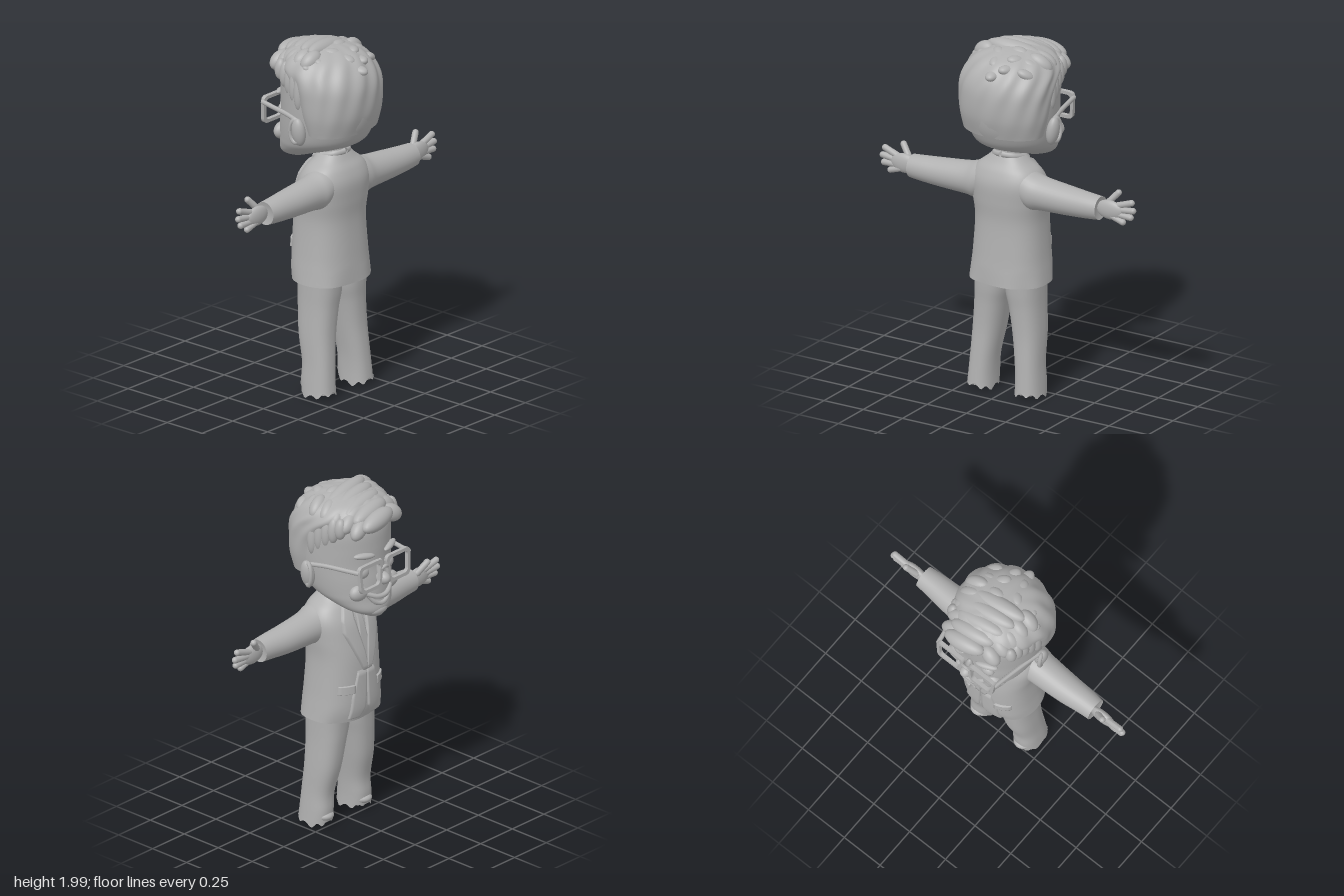
import * as THREE from 'three';

const grey = new THREE.MeshStandardMaterial({ color: 0xb0b0b0, side: THREE.DoubleSide });
grey.name = 'clay grey';

// Cross-section tables: [y, xMin, xMax, zMin, zMax]; the figure faces -z
const TORSO = [
  [0.65, -0.228, 0.228, -0.125, 0.23], [0.72, -0.22, 0.22, -0.14, 0.226], [0.82, -0.21, 0.21, -0.142, 0.218],
  [1.0, -0.2, 0.2, -0.135, 0.208], [1.12, -0.21, 0.21, -0.115, 0.217], [1.22, -0.215, 0.215, -0.09, 0.22],
  [1.29, -0.185, 0.185, -0.055, 0.198], [1.34, -0.125, 0.125, -0.02, 0.165], [1.385, -0.078, 0.078, -0.005, 0.14]];
const HEAD = [
  [1.295, -0.05, 0.05, -0.245, -0.14], [1.34, -0.14, 0.14, -0.26, -0.03], [1.4, -0.2, 0.2, -0.252, 0.13],
  [1.45, -0.225, 0.225, -0.25, 0.23], [1.52, -0.24, 0.24, -0.245, 0.275], [1.6, -0.25, 0.25, -0.235, 0.3],
  [1.7, -0.255, 0.255, -0.235, 0.308], [1.8, -0.255, 0.255, -0.23, 0.295], [1.88, -0.23, 0.23, -0.2, 0.25],
  [1.94, -0.16, 0.16, -0.13, 0.17], [1.965, -0.03, 0.03, -0.04, 0.03]];
const HAIR = [
  [1.52, -0.238, 0.238, -0.02, 0.274], [1.62, -0.26, 0.26, -0.06, 0.304], [1.72, -0.268, 0.268, -0.1, 0.311],
  [1.8, -0.27, 0.27, -0.15, 0.301], [1.87, -0.255, 0.255, -0.22, 0.268], [1.93, -0.205, 0.205, -0.2, 0.21],
  [1.965, -0.12, 0.12, -0.13, 0.12], [1.98, -0.02, 0.02, -0.03, 0.02]];
const LEG = [
  [0.015, 0.075, 0.228, -0.005, 0.19], [0.1, 0.075, 0.222, -0.012, 0.183], [0.2, 0.068, 0.215, -0.012, 0.175],
  [0.35, 0.045, 0.21, -0.045, 0.165], [0.5, 0.02, 0.202, -0.062, 0.167], [0.6, -0.002, 0.2, -0.07, 0.175],
  [0.72, -0.01, 0.2, -0.08, 0.18]];
// Along the arm, x holds minus the height
const ARM = [
  [0.1, -1.32, -1.13, 0.0, 0.19], [0.17, -1.302, -1.09, -0.005, 0.195], [0.24, -1.28, -1.095, 0.0, 0.185],
  [0.4, -1.262, -1.1, 0.01, 0.175], [0.52, -1.252, -1.108, 0.025, 0.168], [0.6, -1.245, -1.115, 0.032, 0.16]];

// Catmull-Rom refinement of a section table
function dense(rows, k = 6) {
  const out = [], at = i => rows[Math.min(rows.length - 1, Math.max(0, i))];
  for (let i = 0; i < rows.length - 1; i++) for (let s = 0; s < k; s++) {
    const t = s / k, [a, b, c, d] = [at(i - 1), at(i), at(i + 1), at(i + 2)];
    out.push(b.map((v, j) => 0.5 * (2 * v + (c[j] - a[j]) * t + (2 * a[j] - 5 * v + 4 * c[j] - d[j]) * t * t
      + (3 * v - a[j] - 3 * c[j] + d[j]) * t ** 3)));
  }
  return [...out, rows[rows.length - 1]];
}

// Skin superellipse rings; warp(point, angle, ring) may move each vertex
function loft(table, { n = 2, seg = 48, warp, bottom = true, top = true, dip = 0 } = {}) {
  const rows = dense(table), pos = [], idx = [], p = new THREE.Vector3();
  const pw = v => Math.sign(v) * Math.abs(v) ** (2 / n);
  rows.forEach(([y, x0, x1, z0, z1], i) => {
    for (let j = 0; j < seg; j++) {
      const a = j / seg * Math.PI * 2;
      p.set((x0 + x1) / 2 + pw(Math.cos(a)) * (x1 - x0) / 2, y, (z0 + z1) / 2 + pw(Math.sin(a)) * (z1 - z0) / 2);
      if (warp) warp(p, a, i);
      pos.push(p.x, p.y, p.z);
      const A = i * seg + j, B = i * seg + (j + 1) % seg;
      if (i < rows.length - 1) idx.push(A, A + seg, B, B, A + seg, B + seg);
    }
  });
  const cap = (i, up) => {
    const [y, x0, x1, z0, z1] = rows[i], s = pos.length / 3;
    pos.push(...pos.slice(i * seg * 3, (i + 1) * seg * 3), (x0 + x1) / 2, y + (up ? -dip : dip), (z0 + z1) / 2);
    for (let j = 0; j < seg; j++) {
      const a = s + j, b = s + (j + 1) % seg;
      idx.push(s + seg, up ? b : a, up ? a : b);
    }
  };
  if (bottom) cap(0, false);
  if (top) cap(rows.length - 1, true);
  return build(pos, idx);
}

function build(pos, idx) {
  const g = new THREE.BufferGeometry();
  g.setAttribute('position', new THREE.Float32BufferAttribute(pos, 3));
  g.setIndex(idx);
  g.computeVertexNormals();
  return g;
}

// Front surface depth of a lofted body at (x, y)
function frontZ(table, x, y, n) {
  const i = Math.max(1, table.findIndex(r => r[0] >= y)), a = table[i - 1], b = table[i];
  const t = (y - a[0]) / (b[0] - a[0]), [, x0, x1, z0, z1] = a.map((v, j) => v + (b[j] - v) * t);
  const d = Math.min(1, Math.abs((x - (x0 + x1) / 2) / ((x1 - x0) / 2)));
  return (z0 + z1) / 2 - (z1 - z0) / 2 * (1 - d ** n) ** (1 / n);
}

// Raised pad hugging the jacket front; outline rows are [y, xLeft, xRight] from top down
function pad(rows, lift) {
  const body = dense(TORSO), pos = [], idx = [], W = 10, H = 24;
  for (let i = 0; i <= H; i++) {
    const f = i / H * (rows.length - 1), k = Math.min(rows.length - 2, Math.floor(f));
    const [y, l, r] = rows[k].map((v, j) => v + (rows[k + 1][j] - v) * (f - k));
    for (let j = 0; j <= W; j++) {
      const x = l + (r - l) * Math.min(1, Math.max(0, (j - 0.9) / (W - 1.8)));
      const edge = i === 0 || i === H || j === 0 || j === W;
      pos.push(x, y, frontZ(body, x, y, 2.4) - (edge ? -0.005 : lift));
      const a = i * (W + 1) + j;
      if (i < H && j < W) idx.push(a, a + 1, a + W + 1, a + 1, a + W + 2, a + W + 1);
    }
  }
  return build(pos, idx);
}

const blob = (x, y, z, rx, ry, rz, tilt = 0, turn = 0) =>
  new THREE.SphereGeometry(1, 24, 16).scale(rx, ry, rz).rotateZ(tilt).rotateY(turn).translate(x, y, z);
const tube = (pts, r) =>
  new THREE.TubeGeometry(new THREE.CatmullRomCurve3(pts.map(p => new THREE.Vector3(...p))), 20, r, 8);

function finger(from, to, r) {
  const a = new THREE.Vector3(...from), b = new THREE.Vector3(...to), d = b.clone().sub(a), len = d.length();
  const q = new THREE.Quaternion().setFromUnitVectors(new THREE.Vector3(0, 1, 0), d.normalize());
  return new THREE.CapsuleGeometry(r, len, 6, 12).applyQuaternion(q).translate(...a.add(b).multiplyScalar(0.5).toArray());
}

function mirrored(geo) {
  const g = geo.clone().scale(-1, 1, 1);
  const ix = g.index ? Array.from(g.index.array) : Array.from({ length: g.attributes.position.count }, (_, i) => i);
  for (let i = 0; i < ix.length; i += 3) [ix[i], ix[i + 1]] = [ix[i + 1], ix[i]];
  g.setIndex(ix);
  g.computeVertexNormals();
  return g;
}

export function createModel() {
  const model = new THREE.Group();
  model.name = 'figure';
  const add = (name, geo) => {
    const m = new THREE.Mesh(geo, grey);
    m.name = name;
    model.add(m);
  };
  const pair = (name, geo) => { add(name + 'Left', geo); add(name + 'Right', mirrored(geo)); };

  // Trousers with ragged open hems, and the feet remnants inside
  pair('trouserLeg', loft(LEG, {
    n: 2.4, bottom: false,
    warp: (p, a, i) => { if (i < 2) p.y += (2 - i) * (0.006 + 0.012 * Math.sin(a * 5) * Math.cos(a * 3 + 1)); } }));
  pair('shoe', blob(0.15, 0.065, 0.05, 0.06, 0.035, 0.075));

  // Jacket with a soft hem
  add('jacket', loft(TORSO, {
    n: 2.4, dip: 0.04,
    warp: (p, a, i) => { if (i < 8) p.z += 0.004 * Math.sin(a * 6) * (1 - i / 8); } }));
  pair('lapel', pad([[1.33, 0.03, 0.075], [1.24, 0.045, 0.12], [1.17, 0.035, 0.125], [1.05, 0.01, 0.075], [0.93, -0.005, 0.02]], 0.018));
  add('tie', pad([[1.33, -0.024, 0.024], [1.28, -0.014, 0.014], [1.1, -0.03, 0.03], [0.98, -0.008, 0.008]], 0.012));
  pair('frontPanel', pad([[0.95, 0.004, 0.06], [0.8, 0.006, 0.1], [0.72, 0.012, 0.11], [0.66, 0.05, 0.12]], 0.01));
  pair('pocketFlap', pad([[0.87, 0.085, 0.165], [0.82, 0.085, 0.168]], 0.012));
  pair('collar', tube([[0, 1.385, 0.145], [0.06, 1.375, 0.115], [0.08, 1.355, 0.05], [0.055, 1.33, -0.02]], 0.018));

  // Sleeves and hands
  pair('sleeve', loft(ARM, { seg: 32, dip: 0.02 }).rotateZ(-Math.PI / 2));
  pair('palm', blob(0.655, 1.18, 0.09, 0.085, 0.055, 0.028));
  [[[0.68, 1.205, 0.085], [0.785, 1.24, 0.078]], [[0.68, 1.185, 0.085], [0.797, 1.198, 0.082]],
    [[0.68, 1.165, 0.09], [0.785, 1.16, 0.088]], [[0.67, 1.15, 0.095], [0.74, 1.127, 0.095]],
    [[0.635, 1.215, 0.075], [0.685, 1.272, 0.05]]]
    .forEach(([a, b], i) => pair(i < 4 ? 'finger' + (i + 1) : 'thumb', finger(a, b, 0.018)));

  // Head
  add('neck', new THREE.CylinderGeometry(0.08, 0.082, 0.14, 32).translate(0, 1.385, 0.065));
  add('head', loft(HEAD));
  pair('ear', blob(0.263, 1.54, 0.045, 0.034, 0.082, 0.042, -0.15));
  pair('earRim', new THREE.TorusGeometry(0.045, 0.012, 8, 24).scale(0.7, 1.4, 1).rotateY(Math.PI / 2 - 0.3).translate(0.275, 1.545, 0.03));

  // Face
  add('nose', blob(0, 1.525, -0.262, 0.036, 0.036, 0.048));
  add('noseBridge', blob(0, 1.575, -0.242, 0.022, 0.06, 0.022));
  pair('cheek', blob(0.115, 1.455, -0.195, 0.065, 0.05, 0.04));
  pair('eye', blob(0.095, 1.57, -0.205, 0.042, 0.036, 0.028));
  pair('eyebrow', blob(0.1, 1.672, -0.22, 0.065, 0.018, 0.022, 0.1, -0.35));
  add('upperLip', tube([[-0.09, 1.445, -0.23], [-0.04, 1.425, -0.258], [0, 1.42, -0.264], [0.04, 1.425, -0.258], [0.09, 1.445, -0.23]], 0.014));
  add('lowerLip', tube([[-0.085, 1.44, -0.228], [-0.045, 1.39, -0.25], [0, 1.375, -0.258], [0.045, 1.39, -0.25], [0.085, 1.44, -0.228]], 0.013));
  add('chin', blob(0, 1.33, -0.222, 0.07, 0.035, 0.042));

  // Glasses
  const outline = (P, w, h, c) => {
    P.moveTo(-w + c, h).lineTo(w - c, h).quadraticCurveTo(w, h, w, h - c).lineTo(w * 0.92, -h + c)
      .quadraticCurveTo(w * 0.88, -h, w * 0.88 - c, -h).lineTo(-w * 0.8 + c, -h)
      .quadraticCurveTo(-w * 0.85, -h, -w * 0.87, -h + c).lineTo(-w, h - c).quadraticCurveTo(-w, h, -w + c, h);
    return P;
  };
  const rim = outline(new THREE.Shape(), 0.092, 0.08, 0.03);
  rim.holes.push(outline(new THREE.Path(), 0.073, 0.061, 0.025));
  pair('glassesRim', new THREE.ExtrudeGeometry(rim, { depth: 0.022, bevelEnabled: false })
    .rotateX(0.06).translate(0.108, 1.57, -0.283));
  add('glassesBridge', tube([[-0.025, 1.59, -0.275], [0, 1.6, -0.28], [0.025, 1.59, -0.275]], 0.01));
  pair('glassesArm', tube([[0.197, 1.618, -0.272], [0.21, 1.615, -0.2], [0.238, 1.61, -0.06], [0.258, 1.6, 0.03]], 0.013));

  // Hair shell, swept quiff, crown tufts and sideburn locks
  add('hair', loft(HAIR, {
    seg: 96, bottom: false,
    warp: (p, a, i) => {
      const f = 1 + 0.022 * Math.min(1, i / 24) * Math.sin(a * 13 + i * 0.25);
      p.x *= f;
      p.z *= f;
    } }));
  for (let k = 0; k < 5; k++) {
    const z = -0.25 + k * 0.065, y = 1.875 + 0.068 * Math.sin(k * 0.36);
    add('quiffLock' + k, blob(0.03 - k * 0.005, y, z, 0.125 + k * 0.012, 0.052, 0.053, -0.14, 0.12));
    add('quiffSide' + k, blob(0.135 + k * 0.012, y - 0.03, z + 0.035, 0.075, 0.045, 0.042, -0.55, 0.25));
    add('quiffEdge' + k, blob(-0.12 - k * 0.012, y - 0.02, z + 0.04, 0.07, 0.05, 0.045, 0.5, -0.2));
  }
  for (let k = 0; k < 20; k++) {
    const a = k * 2.4, r = 0.04 + 0.18 * Math.sqrt(k / 20);
    const y = 1.957 - 1.9 * r * r;
    add('crownTuft' + k, blob(0.015 + r * Math.cos(a), y, 0.05 + r * 0.9 * Math.sin(a), 0.055, 0.028, 0.036, -Math.cos(a) * r * 3, a));
  }
  for (let k = 0; k < 5; k++)
    pair('sideLock' + k, blob(0.237 - k * 0.009, 1.77 + k * 0.018, 0.03 - k * 0.042, 0.033, 0.115 - k * 0.014, 0.033, 0.06));
  return model;
}
